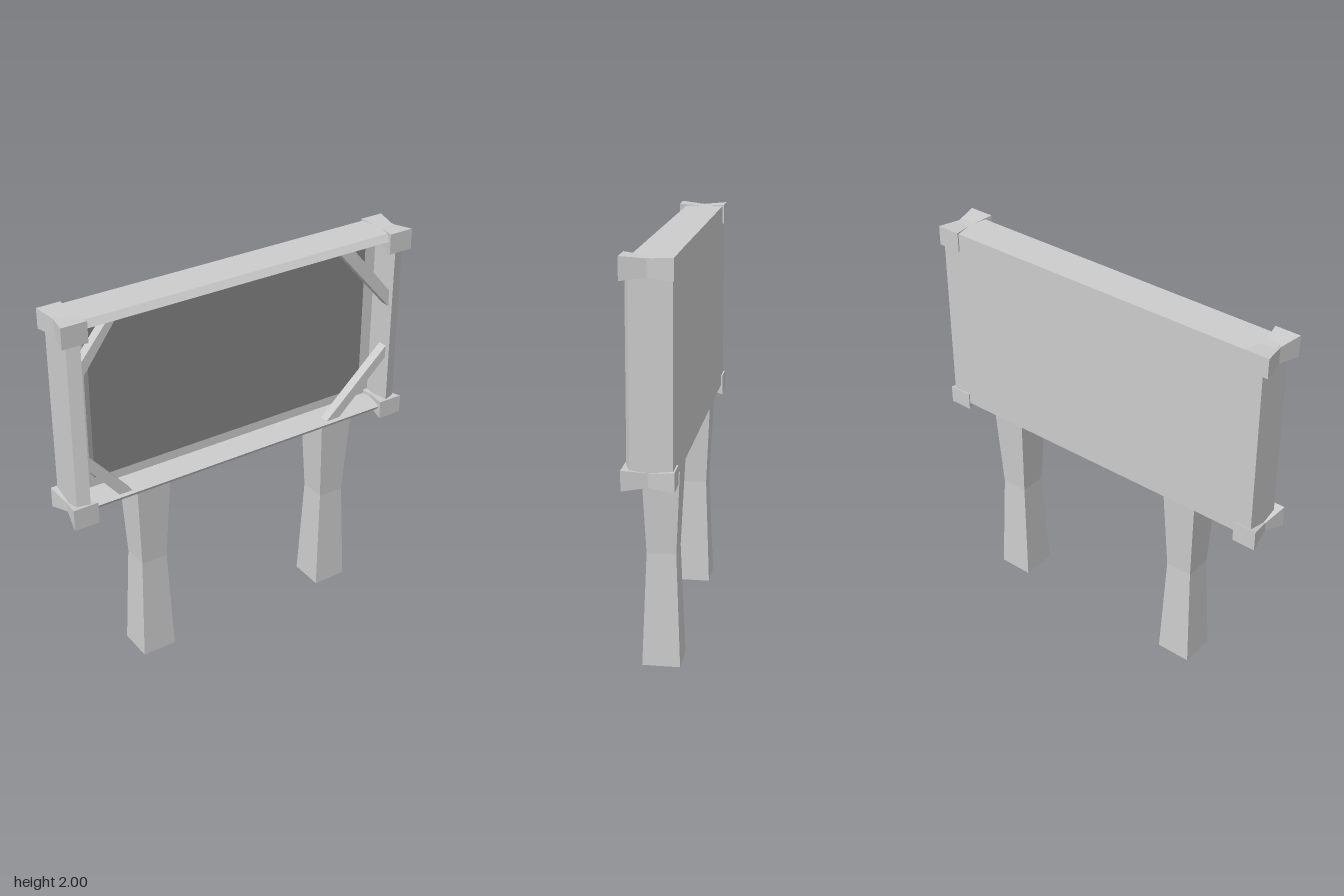
import * as THREE from 'three';

const grey = new THREE.MeshStandardMaterial({ color: 0xcccccc, flatShading: true });
const dark = new THREE.MeshStandardMaterial({ color: 0x848484, flatShading: true });

// Rectangular cross-section at height z, counter-clockwise seen from +z
const rect = (x0, x1, y0, y1, z) => [[x0, y0, z], [x1, y0, z], [x1, y1, z], [x0, y1, z]];

// Skin a list of four-cornered sections and close both ends
function loft(sections) {
  const pos = [];
  const quad = (a, b, c, d) => [a, b, c, a, c, d].forEach(p => pos.push(...p));
  for (let s = 0; s < sections.length - 1; s++) {
    const a = sections[s], b = sections[s + 1];
    for (let i = 0; i < 4; i++) {
      const j = (i + 1) % 4;
      quad(a[i], a[j], b[j], b[i]);
    }
  }
  quad(...[...sections[0]].reverse());
  quad(...sections[sections.length - 1]);
  const g = new THREE.BufferGeometry();
  g.setAttribute('position', new THREE.Float32BufferAttribute(pos, 3));
  g.computeVertexNormals();
  return g;
}

export function createModel() {
  const model = new THREE.Group();
  model.name = 'noticeBoard';
  const add = (name, geometry, material = grey) => {
    const mesh = new THREE.Mesh(geometry, material);
    mesh.name = name;
    model.add(mesh);
    return mesh;
  };

  // Tray-shaped frame: flat back, bevelled front rim, recessed floor
  const outer = [-0.93, 0.935, 1.0, 1.99], inner = [-0.87, 0.873, 1.03, 1.958];
  add('frame', loft([
    rect(...outer, -0.112), rect(...outer, 0.082),
    rect(...inner, 0.107), rect(...inner, -0.05),
  ]));

  // Dark board standing slightly proud of the floor
  add('board', loft([
    rect(-0.785, 0.775, 1.11, 1.932, -0.06), rect(-0.785, 0.775, 1.11, 1.932, -0.005),
  ]), dark);

  // Corner blocks, pinched halfway through their depth: [name, x, y, halfX, halfY, pinchY]
  const corners = [
    ['topRightCorner', -0.9, 1.947, 0.065, 0.053, 0.78],
    ['topLeftCorner', 0.895, 1.947, 0.066, 0.053, 0.78],
    ['bottomRightCorner', -0.9, 1.0, 0.065, 0.056, 0.4],
    ['bottomLeftCorner', 0.895, 1.012, 0.066, 0.048, 0.7],
  ];
  for (const [name, x, y, hx, hy, pinch] of corners) {
    const section = (z, kx, ky) =>
      rect(x - hx * kx, x + hx * kx, y - hy * ky, y + hy * ky, z);
    add(name, loft([section(-0.12, 0.93, 0.95), section(0, 0.6, pinch), section(0.118, 1, 1)]));
  }

  // Thin diagonal braces across the inner corners
  const braces = [
    ['topRightBrace', [[-0.875, 1.68], [-0.875, 1.765], [-0.715, 1.96], [-0.67, 1.96]]],
    ['topLeftBrace', [[0.545, 1.96], [0.63, 1.96], [0.876, 1.67], [0.876, 1.585]]],
    ['bottomRightBrace', [[-0.875, 1.24], [-0.7, 1.028], [-0.63, 1.028], [-0.875, 1.315]]],
    ['bottomLeftBrace', [[0.51, 1.028], [0.59, 1.028], [0.876, 1.3], [0.876, 1.365]]],
  ];
  for (const [name, points] of braces) {
    const shape = new THREE.Shape(points.map(p => new THREE.Vector2(...p)));
    const geometry = new THREE.ExtrudeGeometry(shape, { depth: 0.05, bevelEnabled: false });
    add(name, geometry.translate(0, 0, 0.03));
  }

  // Square posts with a narrow waist
  for (const [name, x] of [['rightPost', -0.514], ['leftPost', 0.575]]) {
    const section = (y, h) => rect(x - h, x + h, 0.012 - h, 0.012 + h, y);
    add(name, loft([section(0, 0.091), section(0.56, 0.07), section(1.005, 0.091)])
      .rotateX(-Math.PI / 2));
  }

  return model;
}
